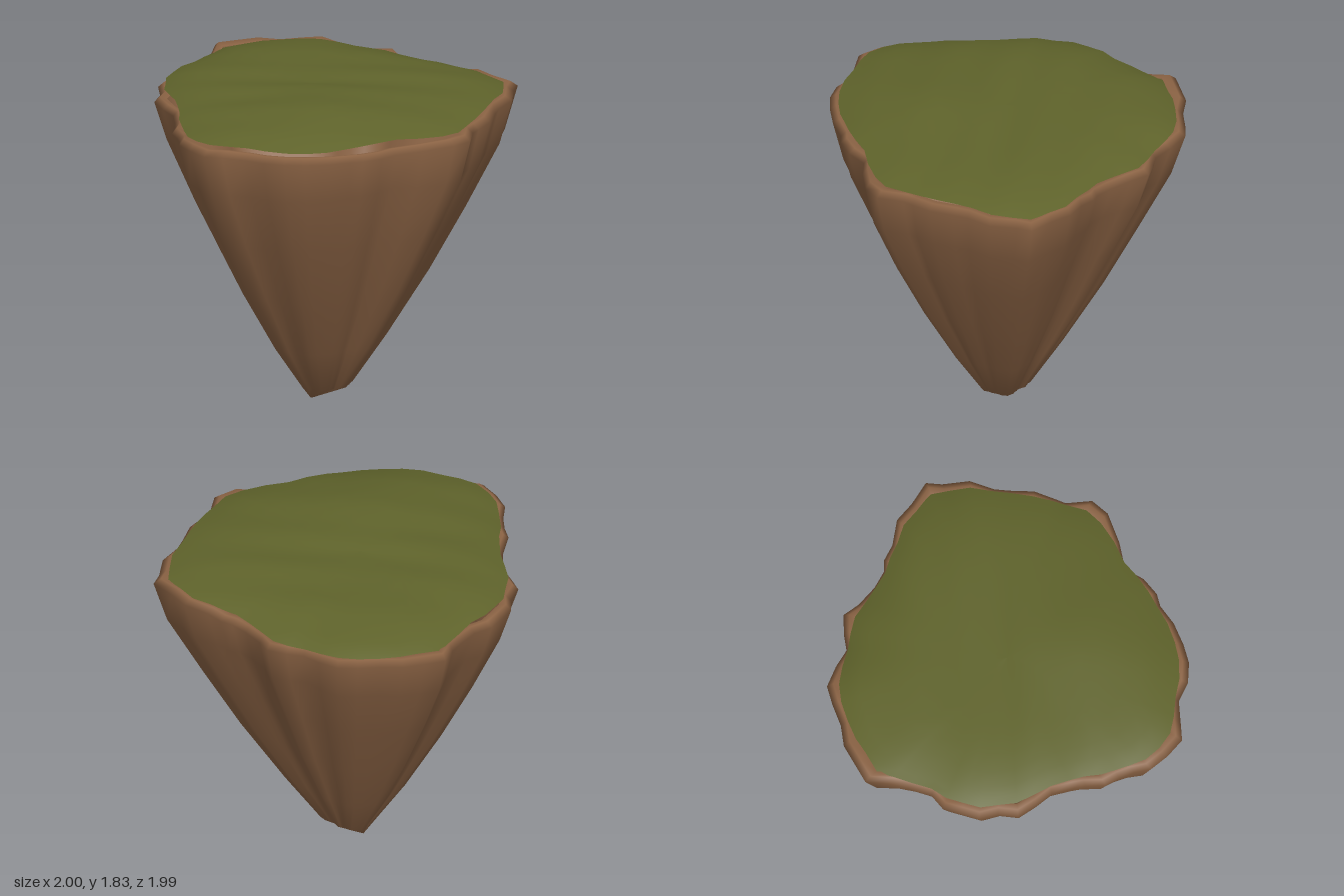
import * as THREE from 'three';

// Ragged plan outline as x, z pairs, running from +x round through +z
const OUTLINE = [
  1, -0.15, 0.92, 0, 0.83, 0.12, 0.85, 0.23, 0.83, 0.34, 0.79, 0.40, 0.76, 0.52, 0.70, 0.64,
  0.64, 0.73, 0.55, 0.80, 0.44, 0.83, 0.35, 0.92, 0.28, 0.99, 0.16, 0.99, 0.05, 0.97, -0.02, 0.91,
  -0.09, 0.87, -0.17, 0.84, -0.24, 0.76, -0.29, 0.72, -0.39, 0.65, -0.50, 0.63, -0.61, 0.60, -0.67, 0.51,
  -0.76, 0.45, -0.80, 0.36, -0.84, 0.27, -0.82, 0.17, -0.87, 0.05, -0.92, -0.04, -1, -0.14, -0.96, -0.25,
  -0.92, -0.36, -0.84, -0.45, -0.78, -0.56, -0.72, -0.65, -0.60, -0.69, -0.49, -0.71, -0.43, -0.78, -0.35, -0.85,
  -0.25, -0.83, -0.12, -0.83, -0.02, -0.85, 0.03, -0.89, 0.12, -0.91, 0.24, -0.98, 0.36, -0.98, 0.50, -1,
  0.55, -0.93, 0.66, -0.83, 0.71, -0.70, 0.76, -0.63, 0.84, -0.53, 0.88, -0.42, 0.90, -0.36, 1, -0.26,
];
const N = OUTLINE.length / 2;
const point = (j) => {
  const k = ((j % N) + N) % N;
  return new THREE.Vector2(OUTLINE[2 * k], OUTLINE[2 * k + 1]);
};

// Joins closed rings of N points into one smooth surface
function loft(rings) {
  const positions = rings.flat(2);
  const index = [];
  for (let i = 0; i < rings.length - 1; i++) {
    for (let j = 0; j < N; j++) {
      const a = i * N + j, b = i * N + (j + 1) % N;
      index.push(a, a + N, b, b, a + N, b + N);
    }
  }
  const geometry = new THREE.BufferGeometry();
  geometry.setAttribute('position', new THREE.Float32BufferAttribute(positions, 3));
  geometry.setIndex(index);
  geometry.computeVertexNormals();
  return geometry;
}

const ring = (make) => Array.from({ length: N }, (_, j) => make(j));

// Fluted cone of earth: height, outline scale, x offset, z offset
function rockGeometry() {
  const profile = [
    [0, 0.004, -0.02, 0], [0.1, 0.15, 0.035, -0.035], [0.37, 0.335, 0.03, -0.02],
    [0.74, 0.56, 0.025, -0.01], [1.1, 0.755, 0.02, 0], [1.45, 0.93, 0.01, 0],
    [1.67, 1, 0, 0], [1.7, 0.965, 0, 0], [1.69, 0.92, 0, 0],
  ];
  return loft(profile.map(([y, s, ox, oz], i) => ring((j) => {
    const p = point(j);
    // the rim rises on the lobes and dips in the grooves
    const wave = i > 5 ? THREE.MathUtils.clamp((p.length() - 0.91) * 0.25, -0.02, 0.02) : 0;
    return [p.x * s + ox, y + wave, p.y * s + oz];
  })));
}

// Thin rolling turf sheet with an edge that droops at the back left
function grassGeometry() {
  const edge = ring((j) => {
    const p = point(j), soft = new THREE.Vector2();
    for (let k = -2; k <= 2; k++) soft.addScaledVector(point(j + k), 0.2);
    return p.multiplyScalar(0.4).addScaledVector(soft, 0.6).multiplyScalar(0.965);
  });
  const scales = [1, 0.95, 0.88, 0.78, 0.66, 0.54, 0.42, 0.3, 0.18, 0.08, 0.001];
  return loft(scales.map((s) => ring((j) => {
    const x = edge[j].x * s, z = edge[j].y * s;
    const angle = Math.atan2(z, x);
    const droop = 0.035 * Math.max(0, -Math.cos(angle - Math.PI / 4));
    const rim = 1.735 - droop + 0.008 * Math.sin(angle * 7);
    const hill = 0.035 * Math.exp(-((x - 0.35) ** 2 + (z - 0.25) ** 2) / 0.12);
    const ripple = 0.006 * Math.cos((x + z - 0.6) * 14);
    const top = 1.792 + hill + ripple;
    return [x, THREE.MathUtils.lerp(rim, top, 1 - s ** 5), z];
  })));
}

export function createModel() {
  const earth = new THREE.MeshStandardMaterial({ color: 0x8b6344, side: THREE.DoubleSide });
  earth.name = 'earthBrown';
  const turf = new THREE.MeshStandardMaterial({ color: 0x5f632b, side: THREE.DoubleSide });
  turf.name = 'grassGreen';

  const group = new THREE.Group();
  group.name = 'floatingIsland';
  const rock = new THREE.Mesh(rockGeometry(), earth);
  rock.name = 'rockBase';
  const grass = new THREE.Mesh(grassGeometry(), turf);
  grass.name = 'grassTop';
  group.add(rock, grass);
  return group;
}
